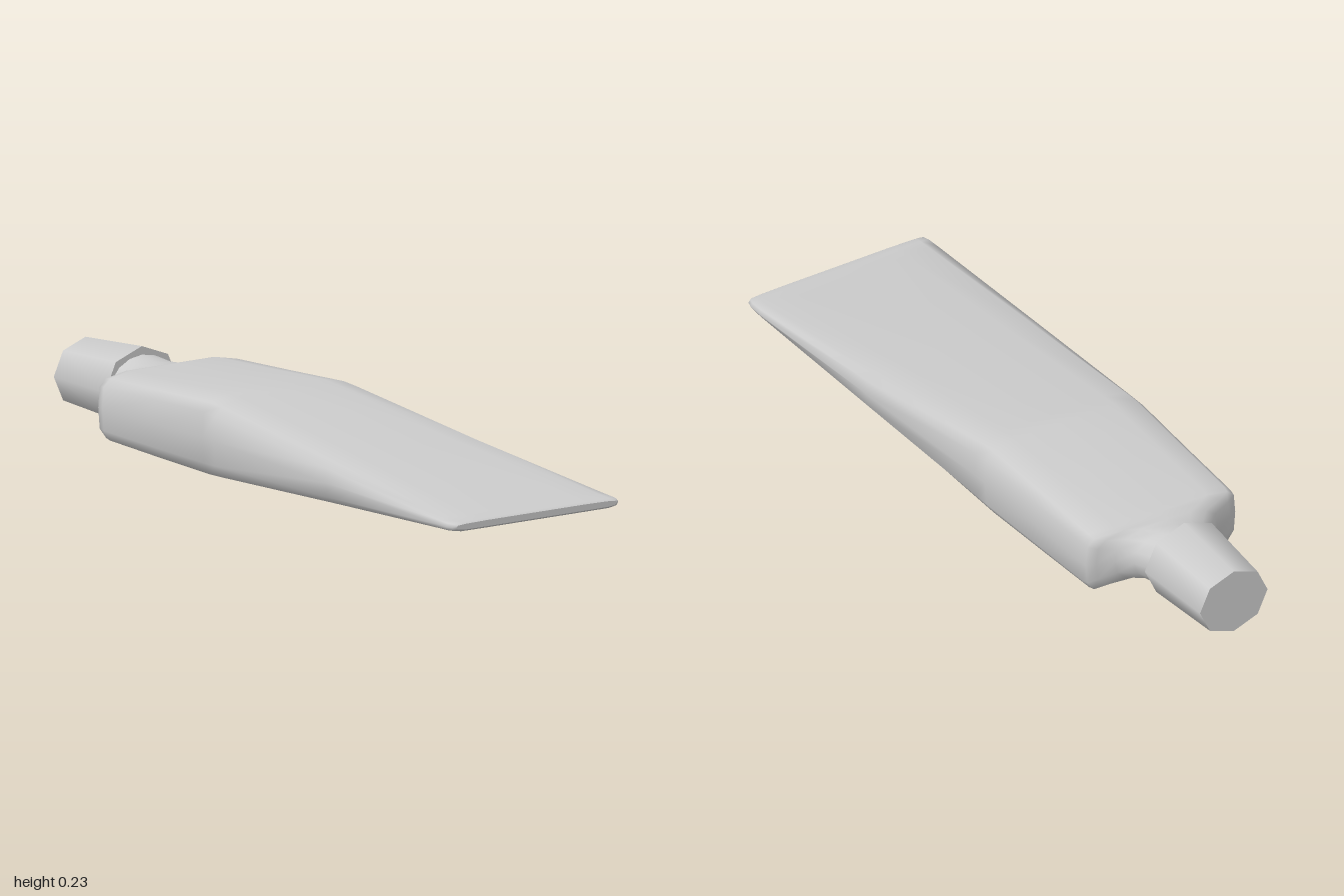
import * as THREE from 'three';

const material = new THREE.MeshStandardMaterial({ color: 0xcccccc });

// Half outline of the body from top to bottom, as fractions of half width and half height
const HALF = [[0, 1], [0.61, 1], [0.89, 0.86], [0.98, 0.64], [1, 0], [0.98, -0.66], [0.89, -0.98], [0.66, -1], [0, -1]];

// One cross-section ring: box = 0 is an ellipse, box = 1 the full body outline
function ring([x, w, y0, y1, box]) {
  const half = HALF.map(([u, v], i) => {
    const a = (i * Math.PI) / 8;
    return [
      THREE.MathUtils.lerp(Math.sin(a), u, box) * w,
      (y0 + y1) / 2 + THREE.MathUtils.lerp(Math.cos(a), v, box) * (y1 - y0) / 2,
    ];
  });
  const mirrored = half.slice(1, -1).reverse().map(([z, y]) => [-z, y]);
  return [...half, ...mirrored].map(([z, y]) => [x, y, z]);
}

// Smooth skin through the rings, closed with flat ends
function loft(sections) {
  const rings = sections.map(ring);
  const n = rings[0].length;
  const positions = rings.flat(2);
  const index = [];
  for (let i = 0; i < rings.length - 1; i++) {
    for (let j = 0; j < n; j++) {
      const a = i * n + j, b = i * n + (j + 1) % n;
      index.push(a, b, a + n, b, b + n, a + n);
    }
  }
  for (const [r, flip] of [[rings[0], true], [rings[rings.length - 1], false]]) {
    const start = positions.length / 3;
    positions.push(...r.flat());
    for (let j = 1; j < n - 1; j++) {
      index.push(start, start + (flip ? j + 1 : j), start + (flip ? j : j + 1));
    }
  }
  const geometry = new THREE.BufferGeometry();
  geometry.setAttribute('position', new THREE.Float32BufferAttribute(positions, 3));
  geometry.setIndex(index);
  geometry.computeVertexNormals();
  return geometry;
}

function addPart(group, name, geometry) {
  const mesh = new THREE.Mesh(geometry, material);
  mesh.name = name;
  group.add(mesh);
  return mesh;
}

export function createModel() {
  const group = new THREE.Group();
  group.name = 'squeezeTube';

  // Neck, shoulder and body flattening into the crimped end: x, half width, bottom, top, boxiness
  addPart(group, 'tubeBody', loft([
    [-0.77, 0.108, 0.025, 0.207, 0],
    [-0.74, 0.11, 0.027, 0.206, 0],
    [-0.70, 0.128, 0.033, 0.196, 0.1],
    [-0.66, 0.165, 0.033, 0.190, 0.4],
    [-0.645, 0.215, 0.028, 0.194, 0.8],
    [-0.632, 0.24, 0.022, 0.2, 1],
    [-0.61, 0.243, 0.018, 0.204, 1],
    [-0.38, 0.249, 0.009, 0.211, 1],
    [-0.15, 0.256, 0.002, 0.219, 1],
    [-0.1, 0.257, 0.003, 0.214, 1],
    [0.42, 0.274, 0.021, 0.143, 1],
    [0.93, 0.29, 0.039, 0.073, 1],
    [0.975, 0.289, 0.04, 0.069, 1],
    [0.993, 0.284, 0.041, 0.068, 1],
    [1, 0.274, 0.046, 0.063, 1],
  ]));

  // Eight-sided tapered cap
  const cap = addPart(group, 'cap', new THREE.CylinderGeometry(0.86, 1, 0.25, 8).rotateZ(Math.PI / 2));
  cap.scale.set(1, 0.113, 0.126);
  cap.position.set(-0.875, 0.117, 0);

  return group;
}
